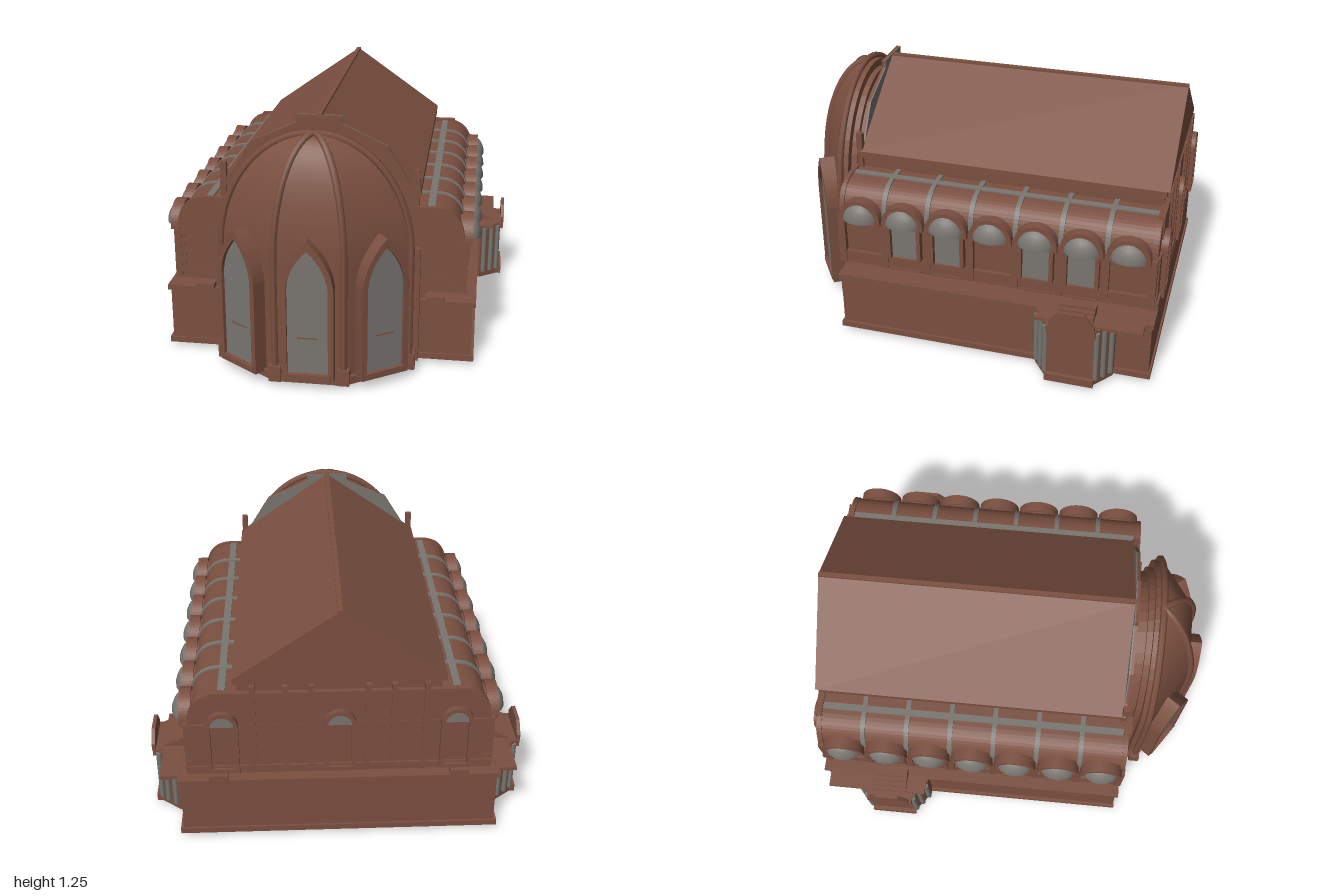
import * as THREE from 'three';
import { ParametricGeometry } from 'three/addons/geometries/ParametricGeometry.js';

const brick = new THREE.MeshStandardMaterial({ color: 0x7b5040, side: THREE.DoubleSide });
brick.name = 'brick';
const stone = new THREE.MeshStandardMaterial({ color: 0x797671, side: THREE.DoubleSide });
stone.name = 'greyStone';

// Box from its two corners
function box(x0, x1, y0, y1, z0, z1) {
  return new THREE.BoxGeometry(x1 - x0, y1 - y0, z1 - z0)
    .translate((x0 + x1) / 2, (y0 + y1) / 2, (z0 + z1) / 2);
}
const poly = (pts) => new THREE.Shape(pts.map((p) => new THREE.Vector2(p[0], p[1])));
function extrude(shape, z0, z1) {
  return new THREE.ExtrudeGeometry(shape, { depth: z1 - z0, bevelEnabled: false, curveSegments: 12 })
    .translate(0, 0, z0);
}
// Outline with a straight lower part and a round or pointed head
function arch(w, y0, spring, top, pointed = false) {
  const s = new THREE.Shape();
  s.moveTo(-w, y0);
  s.lineTo(w, y0);
  s.lineTo(w, spring);
  if (pointed) {
    s.quadraticCurveTo(w * 0.92, spring + (top - spring) * 0.55, 0, top);
    s.quadraticCurveTo(-w * 0.92, spring + (top - spring) * 0.55, -w, spring);
  } else {
    s.absellipse(0, spring, w, top - spring, 0, Math.PI, false);
  }
  s.lineTo(-w, y0);
  return s;
}
function archRing(outer, inner) {
  outer.holes.push(new THREE.Path(inner.getPoints(12)));
  return outer;
}
// Mirrored copy in x with the corner order corrected
function mirrored(geo) {
  const g = (geo.index ? geo.toNonIndexed() : geo.clone());
  for (const name of ['position', 'normal']) {
    const a = g.attributes[name];
    for (let i = 0; i < a.count; i += 3) {
      const v = [0, 2, 1].map((k) => [-a.getX(i + k), a.getY(i + k), a.getZ(i + k)]);
      v.forEach((p, k) => a.setXYZ(i + k, ...p));
    }
  }
  return g;
}

export function createModel() {
  const root = new THREE.Group();
  root.name = 'chapel';
  const add = (name, geo, mat = brick) => {
    const m = new THREE.Mesh(geo, mat);
    m.name = name;
    root.add(m);
  };
  const pair = (name, geo, mat = brick) => {
    add(name + 'Left', geo, mat);
    add(name + 'Right', mirrored(geo), mat);
  };

  // Base and ground floor
  add('floorInlay', box(-0.28, 0.28, 0, 0.004, -0.45, 0.25), stone);
  add('baseSlab', box(-0.48, 0.48, 0.003, 0.03, -0.67, 0.4));
  add('groundFloor', box(-0.76, 0.76, 0.02, 0.33, -0.97, 0.62));
  add('groundPlinth', box(-0.775, 0.775, 0.02, 0.05, -0.98, 0.63));
  add('groundCornice', box(-0.775, 0.775, 0.315, 0.34, -0.98, 0.63));

  // Nave, clerestory and gable roof
  add('core', box(-0.53, 0.53, 0.33, 0.4, -0.7, 0.6));
  add('nave', box(-0.47, 0.47, 0.39, 0.9, -0.95, 0.6));
  add('naveCornice', box(-0.49, 0.49, 0.87, 0.905, -0.96, 0.6));
  add('gableRoof', extrude(poly([[-0.49, 0.905], [0.49, 0.905], [0, 1.25]]), -0.975, 0.6));
  add('ridge', box(-0.012, 0.012, 1.235, 1.253, -0.975, 0.6));

  // Upright wall between nave and apse
  const wall = poly([[-0.47, 0.34], [0.47, 0.34], [0.46, 0.9], [0.33, 1.11], [0.11, 1.21],
    [0.11, 1.25], [-0.11, 1.25], [-0.11, 1.21], [-0.33, 1.11], [-0.46, 0.9]]);
  add('chancelWall', extrude(wall, 0.59, 0.605));
  add('chancelWallBack', extrude(wall, 0.584, 0.59), stone);
  pair('pinnacle', box(0.455, 0.485, 0.34, 1.0, 0.58, 0.61));

  // Stepped arches leading to the apse
  const domeTop = 1.2, spring = 0.62;
  [[0.385, 1.12, 0.6, 0.69], [0.41, 1.15, 0.66, 0.71], [0.45, 1.19, 0.69, 0.735]].forEach(([w, top, z0, z1]) => {
    add('apseArch', extrude(arch(w, 0.02, spring, top), z0, z1));
  });
  pair('apsePier', box(0.4, 0.5, 0.02, 0.62, 0.6, 0.66));

  // Three-sided apse rising into a ribbed dome
  const corners = [[-0.46, 0.73], [-0.165, 0.935], [0.165, 0.935], [0.46, 0.73]];
  const shrink = (y) => (y < spring ? 1 : Math.sqrt(Math.max(0, 1 - ((y - spring) / (domeTop - spring)) ** 2)));
  const onApse = (x, z, y) => new THREE.Vector3(x * shrink(y), y, 0.73 + (z - 0.73) * shrink(y));
  const heightAt = (v) => (v < 0.2 ? 0.02 + (spring - 0.02) * v / 0.2
    : spring + (domeTop - spring) * Math.sin((v - 0.2) / 0.8 * Math.PI / 2));
  for (let i = 0; i < 3; i++) {
    const [a, b] = [corners[i], corners[i + 1]];
    add('apseSide' + (i + 1), new ParametricGeometry((u, v, t) => {
      t.copy(onApse(a[0] + (b[0] - a[0]) * u, a[1] + (b[1] - a[1]) * u, heightAt(v)));
    }, 4, 25));
  }
  corners.forEach(([x, z]) => {
    const pts = [];
    for (let k = 0; k <= 20; k++) pts.push(onApse(x, z, heightAt(k / 20)));
    const path = new THREE.CatmullRomCurve3(pts);
    add('apseRib', new THREE.TubeGeometry(path, 40, 0.018, 6));
    add('apsePierFoot', box(x - 0.03, x + 0.03, 0.02, 0.1, z - 0.03, z + 0.025));
  });
  const plan = poly([[-0.47, -0.62], [0.47, -0.62], [0.47, -0.74], [0.17, -0.955], [-0.17, -0.955], [-0.47, -0.74]]);
  add('apsePlinth', extrude(plan, 0.02, 0.06).rotateX(-Math.PI / 2));

  // Pointed apse windows in deep frames
  [[0, 0.93, 0], [0.325, 0.838, 0.61], [-0.325, 0.838, -0.61]].forEach(([x, z, turn]) => {
    const place = (g) => g.rotateY(turn).translate(x, 0, z);
    add('apseWindowFrame', place(extrude(archRing(arch(0.125, 0.05, 0.52, 0.76, true),
      arch(0.098, 0.075, 0.52, 0.715, true)), -0.03, 0.06)));
    add('apseWindowGlass', place(extrude(arch(0.1, 0.07, 0.52, 0.72, true), 0.035, 0.043)), stone);
    add('apseWindowSill', place(box(-0.11, 0.11, 0.06, 0.085, 0, 0.065)));
    add('apseWindowBar', place(box(-0.05, 0.05, 0.267, 0.273, 0.043, 0.047)));
  });

  // Side aisles with a quarter-round vault
  const aisle = (d) => {
    const s = new THREE.Shape();
    s.moveTo(0.46, 0.39);
    s.lineTo(0.7 + d, 0.39);
    s.lineTo(0.7 + d, 0.65);
    s.bezierCurveTo(0.7 + d, 0.75, 0.66, 0.815 + d, 0.56, 0.815 + d);
    s.lineTo(0.46, 0.815 + d);
    return s;
  };
  pair('aisle', extrude(aisle(0), -0.965, 0.61));
  pair('aisleGutter', box(0.525, 0.56, 0.81, 0.822, -0.95, 0.6), stone);
  pair('aisleSill', box(0.46, 0.72, 0.39, 0.455, -0.975, 0.63));
  pair('aisleString', box(0.46, 0.715, 0.64, 0.66, -0.97, 0.62));
  pair('aisleFrontPier', box(0.49, 0.53, 0.39, 0.65, 0.6, 0.63));
  pair('aisleCornerPier', box(0.67, 0.715, 0.39, 0.65, 0.6, 0.63));
  const lunette = poly([[0.52, 0.665], [0.69, 0.665], [0.68, 0.72], [0.65, 0.765], [0.6, 0.795], [0.52, 0.8]]);
  pair('aisleLunette', extrude(lunette, 0.61, 0.617), stone);

  // Seven bays along each aisle
  const bay = 0.2235;
  for (let i = 0; i < 8; i++) {
    const z = 0.615 - i * bay;
    pair('vaultRib', extrude(aisle(0.008), z - 0.012, z + 0.012), i % 7 ? stone : brick);
    pair('bayPilaster', box(0.69, 0.725, 0.39, 0.66, z - 0.018, z + 0.018));
    pair('roofBlock', box(0.53, 0.62, 0.34, 0.365, z - 0.03, z + 0.03));
  }
  for (let i = 0; i < 7; i++) {
    const z = 0.508 - i * bay;
    const side = (g) => g.rotateY(Math.PI / 2).translate(0, 0, z);
    pair('bayHood', new THREE.SphereGeometry(1, 16, 6, 0, Math.PI * 2, 0, Math.PI / 2)
      .scale(0.07, 0.1, 0.095).translate(0.715, 0.655, z), stone);
    pair('bayArchFill', side(extrude(arch(0.092, 0.64, 0.655, 0.75), 0.66, 0.722)));
    pair('bayArch', side(extrude(archRing(arch(0.108, 0.64, 0.655, 0.765), arch(0.08, 0.641, 0.655, 0.735)), 0.69, 0.745)));
    if ([1, 2, 4, 5].includes(i)) {
      pair('bayWindow', box(0.7, 0.709, 0.39, 0.65, z - 0.068, z + 0.068), stone);
      pair('bayWindowSill', box(0.7, 0.727, 0.39, 0.4, z - 0.08, z + 0.08));
      for (const e of [-1, 1]) {
        pair('bayWindowJamb', box(0.7, 0.735, 0.46, 0.64, z + e * 0.078 - 0.01, z + e * 0.078 + 0.01));
      }
    }
  }

  // Back wall with arched openings and pilasters
  add('backWall', box(-0.69, 0.69, 0.39, 0.66, -0.975, -0.94));
  add('backUpperBand', box(-0.6, 0.6, 0.66, 0.83, -0.972, -0.94));
  add('backSill', box(-0.72, 0.72, 0.39, 0.43, -0.985, -0.95));
  for (const x of [-0.545, 0, 0.545]) {
    const at = (g) => g.translate(x, 0, 0);
    add('backOpeningFrame', at(extrude(archRing(arch(0.075, 0.4, 0.66, 0.735), arch(0.055, 0.42, 0.66, 0.715)), -1.0, -0.96)));
    add('backLunette', at(extrude(arch(0.058, 0.65, 0.66, 0.718), -0.982, -0.976)), stone);
  }
  for (const x of [0.13, 0.25, 0.4]) pair('backPilaster', box(x - 0.012, x + 0.012, 0.4, 0.87, -0.983, -0.94));

  // Side porches with canted stone columns
  const porch = poly([[0.75, 0.41], [0.79, 0.41], [0.895, 0.49], [0.895, 0.72], [0.79, 0.8], [0.75, 0.8]]);
  pair('porch', extrude(porch, 0.02, 0.335).rotateX(-Math.PI / 2));
  pair('porchRoofSlab', box(0.76, 0.86, 0.325, 0.342, -0.94, -0.42));
  pair('porchPlinth', box(0.78, 0.915, 0.02, 0.06, -0.725, -0.485));
  pair('porchLintel', box(0.78, 0.915, 0.305, 0.34, -0.725, -0.485));
  pair('porchGable', extrude(poly([[-0.11, 0.335], [0.11, 0.335], [0.11, 0.37], [0.06, 0.43], [-0.06, 0.43], [-0.11, 0.37]]), 0.9, 0.918)
    .rotateY(Math.PI / 2).translate(0, 0, -0.61));
  for (const [x, z] of [[0.81, -0.42], [0.85, -0.45], [0.885, -0.48], [0.81, -0.79], [0.85, -0.76], [0.885, -0.73]]) {
    pair('porchColumn', new THREE.CylinderGeometry(0.014, 0.014, 0.27, 8).translate(x, 0.19, z), stone);
  }
  for (let k = 0; k < 4; k++) {
    pair('porchStep', box(0.74, 0.86 - k * 0.025, 0.34 + k * 0.012, 0.352 + k * 0.012, -0.7, -0.52));
  }
  return root;
}
